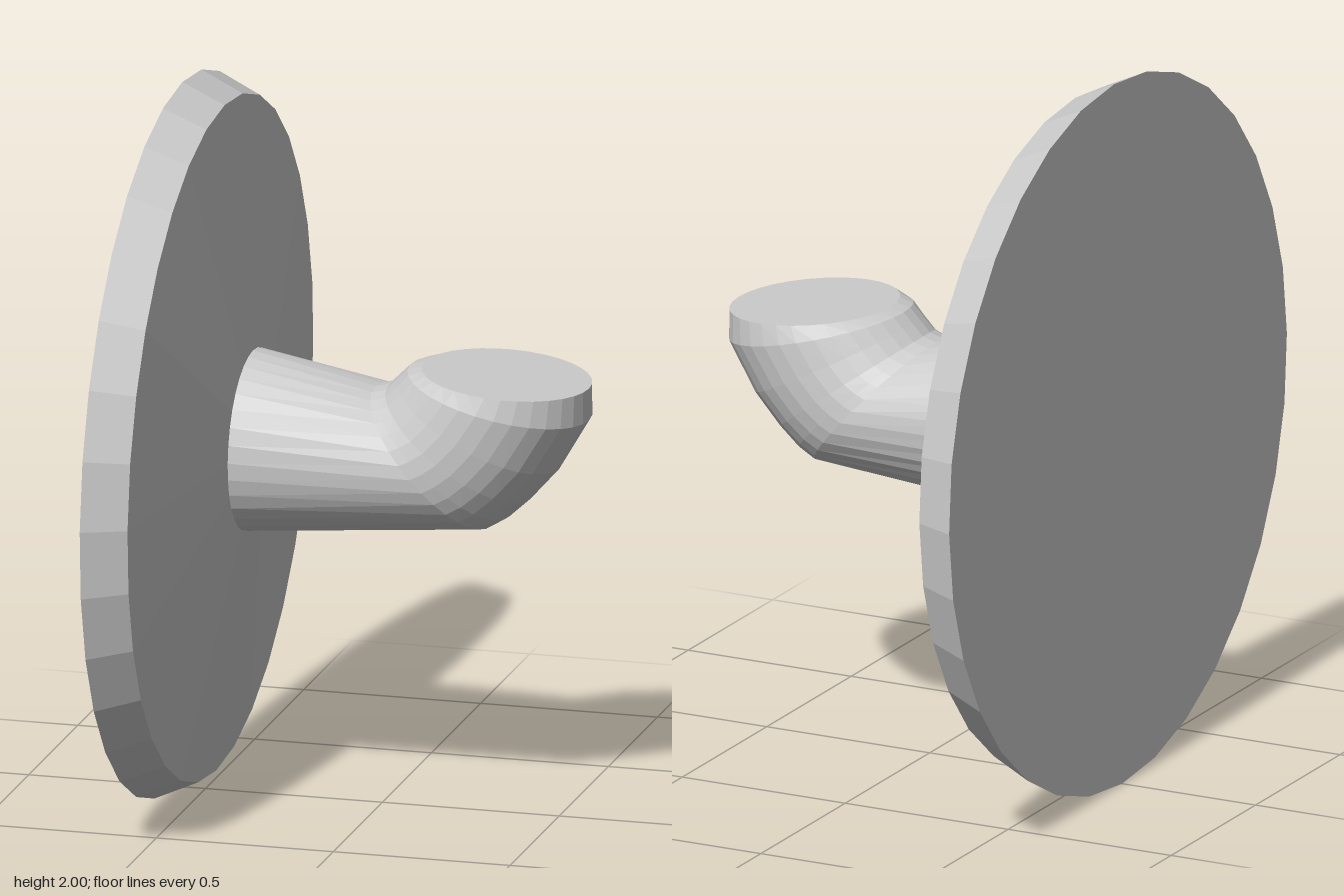
import * as THREE from 'three';

const SIDES = 32;

// Skin elliptical rings given as [bottomX, bottomY, topX, topY, halfWidth]
function loft(rings) {
  const positions = [], index = [];
  for (const [bx, by, tx, ty, w] of rings) {
    for (let j = 0; j < SIDES; j++) {
      const a = (j / SIDES) * Math.PI * 2;
      const t = (1 + Math.cos(a)) / 2;
      positions.push(bx + (tx - bx) * t, by + (ty - by) * t, w * Math.sin(a));
    }
  }
  for (let i = 0; i < rings.length - 1; i++) {
    for (let j = 0; j < SIDES; j++) {
      const k = (j + 1) % SIDES;
      const a = i * SIDES + j, b = i * SIDES + k;
      index.push(a, b, a + SIDES, b, b + SIDES, a + SIDES);
    }
  }
  const geometry = new THREE.BufferGeometry();
  geometry.setAttribute('position', new THREE.Float32BufferAttribute(positions, 3));
  geometry.setIndex(index);
  geometry.computeVertexNormals();
  return geometry;
}

export function createModel() {
  const group = new THREE.Group();
  const material = new THREE.MeshStandardMaterial({ color: 0xcccccc, flatShading: true });

  // Round wall plate with bevelled rim and shallow conical face, slightly tilted
  const profile = [[0, 0], [1, 0], [0.945, 0.12], [0.25, 0.21], [0, 0.21]]
    .map(([r, h]) => new THREE.Vector2(r, h));
  const plate = new THREE.Mesh(new THREE.LatheGeometry(profile, SIDES), material);
  plate.name = 'wallPlate';
  plate.rotation.z = -Math.PI / 2 - 0.0125;
  plate.position.set(-0.578, 1.0, 0);
  group.add(plate);

  // Peg: tapering stem, upward elbow, then a narrowed flat end
  const peg = new THREE.Mesh(loft([
    [-0.375, 0.75, -0.37, 1.255, 0.25],
    [0.31, 0.81, -0.02, 1.18, 0.25],
    [0.36, 0.84, -0.005, 1.183, 0.25],
    [0.42, 0.895, 0.02, 1.19, 0.25],
    [0.5, 0.985, 0.05, 1.22, 0.25],
    [0.585, 1.13, 0.08, 1.25, 0.25],
    [0.585, 1.22, 0.12, 1.26, 0.235],
    [0.352, 1.24, 0.352, 1.24, 0],
  ]), material);
  peg.name = 'hookPeg';
  group.add(peg);

  return group;
}
